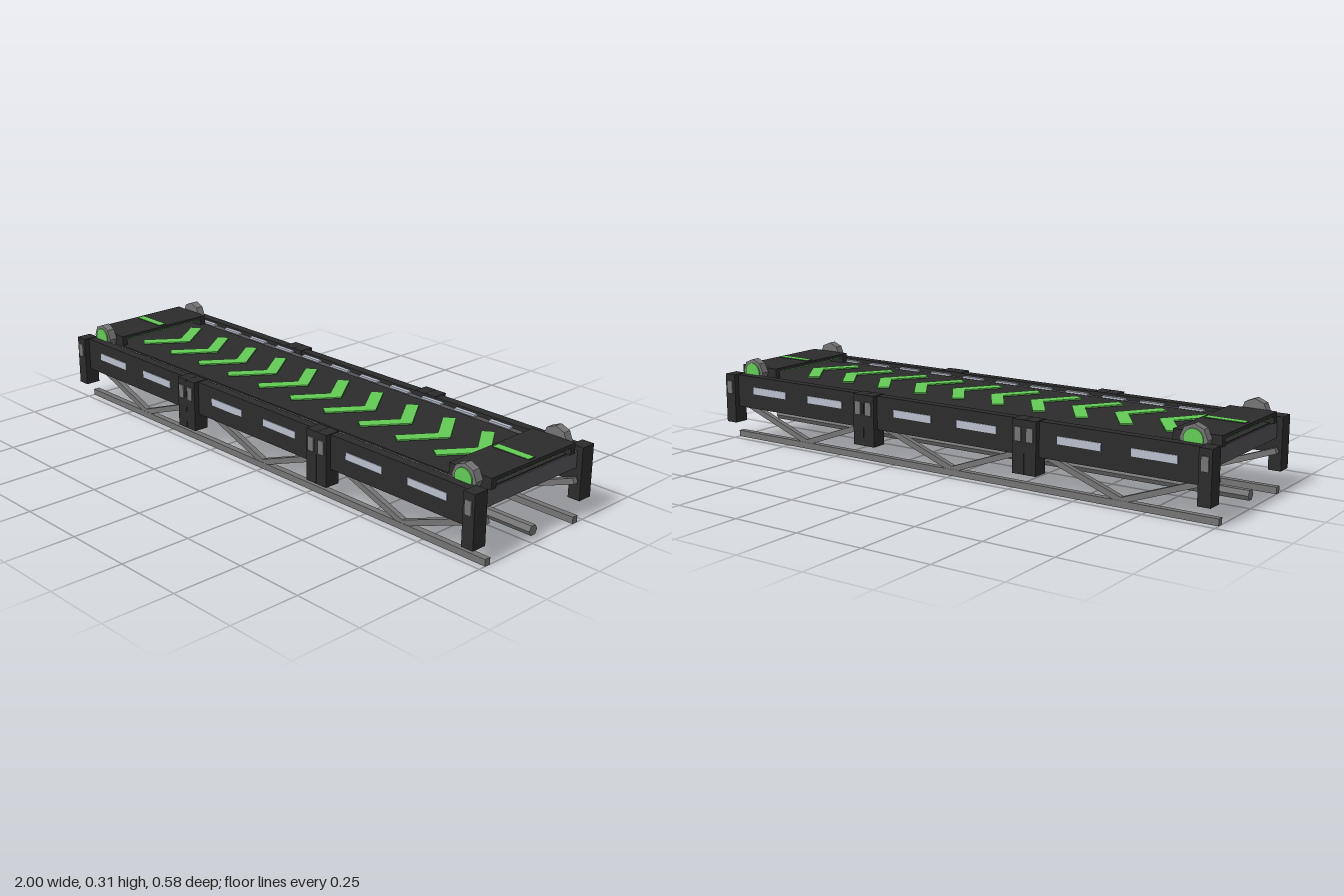
import * as THREE from 'three';

const mat = (name, color) => {
  const m = new THREE.MeshStandardMaterial({ color });
  m.name = name;
  return m;
};

export function createModel() {
  const dark = mat('dark panel', 0x2c2c2d);
  const slate = mat('slate frame', 0x535358);
  const steel = mat('steel', 0x757575);
  const green = mat('signal green', 0x62cc55);
  const pale = mat('pale light', 0xb9bfcd);

  const model = new THREE.Group();
  model.name = 'conveyor';

  const add = (name, geo, material, x = 0, y = 0, z = 0) => {
    const mesh = new THREE.Mesh(geo, material);
    mesh.name = name;
    mesh.position.set(x, y, z);
    model.add(mesh);
    return mesh;
  };
  // Box given by its minimum and maximum along each axis
  const box = (name, material, x0, x1, y0, y1, z0, z1) =>
    add(name, new THREE.BoxGeometry(x1 - x0, y1 - y0, Math.abs(z1 - z0)), material,
      (x0 + x1) / 2, (y0 + y1) / 2, (z0 + z1) / 2);

  // Bed and belt
  box('bed', slate, -0.98, 0.98, 0.18, 0.236, -0.23, 0.23);
  box('belt', dark, -0.975, 0.975, 0.235, 0.24, -0.2, 0.2);
  box('bedUnderside', dark, -0.965, 0.965, 0.176, 0.181, -0.229, 0.229);

  // Direction arrows along the belt
  const arrow = new THREE.Shape([
    [0, 0], [-0.1, 0.14], [-0.135, 0.115], [-0.053, 0], [-0.135, -0.115], [-0.1, -0.14],
  ].map(([x, y]) => new THREE.Vector2(x, y)));
  const arrowGeo = new THREE.ExtrudeGeometry(arrow, { depth: 0.005, bevelEnabled: false });
  arrowGeo.rotateX(-Math.PI / 2);
  for (let i = 0; i < 10; i++) add('beltArrow', arrowGeo, green, -0.67 + i * 0.1655, 0.244, 0);

  // Arched covers over both ends
  for (const s of [-1, 1]) {
    const c = s * 0.907;
    box('coverTop', dark, c - 0.083, c + 0.083, 0.263, 0.275, -0.2, 0.2);
    box('coverLiner', green, c - 0.08, c + 0.08, 0.259, 0.263, -0.178, 0.178);
    for (const z of [-0.189, 0.189])
      box('coverSide', dark, c - 0.083, c + 0.083, 0.238, 0.264, z - 0.011, z + 0.011);
    box('coverMarkBase', dark, c - 0.07, c + 0.07, 0.274, 0.277, -0.015, 0.015);
    box('coverMark', green, c - 0.07, c + 0.07, 0.277, 0.278, -0.015, 0.015);
  }

  // Half post with its steel plate
  const halfPost = (x, s) => {
    box('post', dark, x - 0.0225, x + 0.0225, 0.07, 0.252, s * 0.228, s * 0.284);
    box('postPlate', steel, x - 0.013, x + 0.013, 0.18, 0.228, s * 0.283, s * 0.289);
  };

  const rollerGeo = new THREE.CylinderGeometry(0.048, 0.048, 0.03, 8).toNonIndexed();
  rollerGeo.rotateX(Math.PI / 2);
  rollerGeo.computeVertexNormals();
  const lampGeo = new THREE.CylinderGeometry(0.034, 0.034, 0.005, 16);
  lampGeo.rotateX(Math.PI / 2);

  for (const s of [-1, 1]) {
    // Side rail with light strips
    box('sideRail', dark, -0.96, 0.96, 0.13, 0.25, s * 0.23, s * 0.264);
    for (const x of [-0.797, -0.53, -0.134, 0.134, 0.53, 0.797])
      box('railLight', pale, x - 0.08, x + 0.08, 0.185, 0.211, s * 0.262, s * 0.267);
    for (let i = 0; i < 12; i++) {
      const x = -0.825 + i * 0.15;
      box('edgeLight', pale, x - 0.045, x + 0.045, 0.235, 0.243, s * 0.214, s * 0.229);
    }

    // Posts
    for (const x of [-0.9775, -0.358, -0.312, 0.312, 0.358, 0.9775]) halfPost(x, s);

    // Corner lamps
    for (const x of [-0.91, 0.91]) {
      add('lampHousing', rollerGeo, steel, x, 0.26, s * 0.216);
      add('lamp', lampGeo, green, x, 0.26, s * 0.233);
    }

    // Truss
    box('trussRail', steel, -1, 1, 0, 0.023, s * 0.201, s * 0.224);
    for (let i = 0; i < 6; i++) {
      const x0 = -0.99 + i * 0.33;
      const y0 = i % 2 ? 0.023 : 0.143;
      const y1 = i % 2 ? 0.143 : 0.023;
      const brace = add('trussBrace', new THREE.BoxGeometry(Math.hypot(0.33, 0.12), 0.02, 0.02),
        steel, x0 + 0.165, 0.083, s * 0.213);
      brace.rotation.z = Math.atan2(y1 - y0, 0.33);
    }
  }

  // Hexagonal shaft under the bed
  const shaftGeo = new THREE.CylinderGeometry(0.019, 0.019, 2, 6).toNonIndexed();
  shaftGeo.rotateZ(Math.PI / 2);
  shaftGeo.computeVertexNormals();
  add('shaft', shaftGeo, steel, 0, 0.045, 0);

  return model;
}
